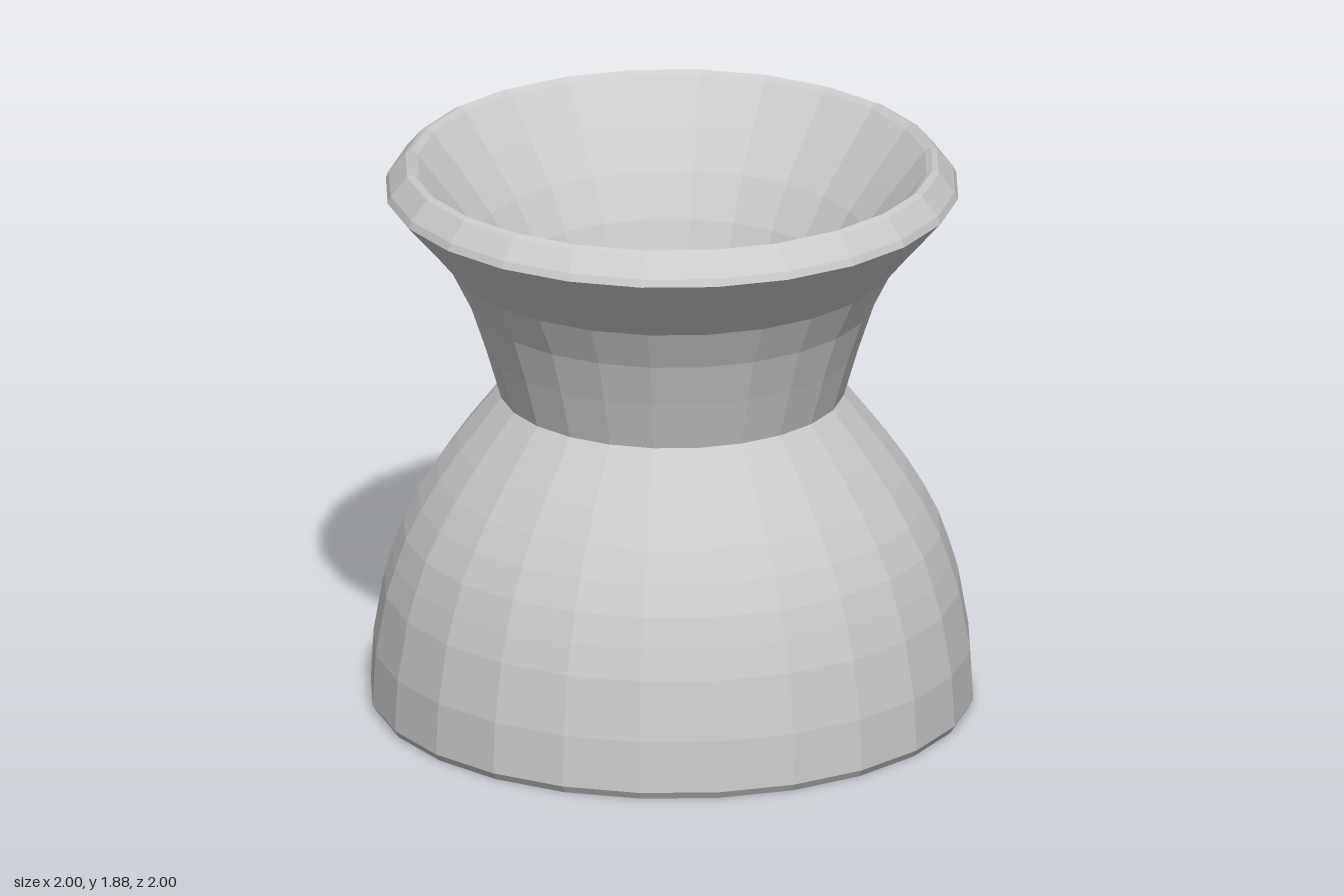
import * as THREE from 'three';

const SIDES = 24;
const material = new THREE.MeshStandardMaterial({ color: 0xcccccc, flatShading: true });

// Turns a list of [radius, height] pairs around the vertical axis.
function turned(name, profile) {
  const points = profile.map(([r, y]) => new THREE.Vector2(r, y));
  const mesh = new THREE.Mesh(new THREE.LatheGeometry(points, SIDES), material);
  mesh.name = name;
  return mesh;
}

export function createModel() {
  const model = new THREE.Group();
  model.name = 'hourglassCup';

  // Domed foot with a flat closed underside
  model.add(turned('domedBase', [
    [0, 0], [0.985, 0], [1, 0.025], [0.99, 0.2], [0.955, 0.4], [0.925, 0.5],
    [0.89, 0.6], [0.84, 0.7], [0.78, 0.8], [0.71, 0.9], [0.64, 0.99], [0.57, 1.08],
  ]));

  // Flared outside of the cup
  model.add(turned('cupOutside', [
    [0.57, 1.08], [0.62, 1.25], [0.67, 1.4], [0.74, 1.54], [0.84, 1.66], [0.95, 1.785],
  ]));

  // Bevelled lip
  model.add(turned('rim', [
    [0.95, 1.785], [0.94, 1.81], [0.885, 1.875], [0.865, 1.885], [0.845, 1.87],
  ]));

  // Hollow of the cup, down to its flat floor
  model.add(turned('cupInside', [
    [0.845, 1.87], [0.74, 1.74], [0.64, 1.61], [0.56, 1.47], [0.51, 1.33],
    [0.46, 1.19], [0.425, 1.08], [0, 1.08],
  ]));

  return model;
}
